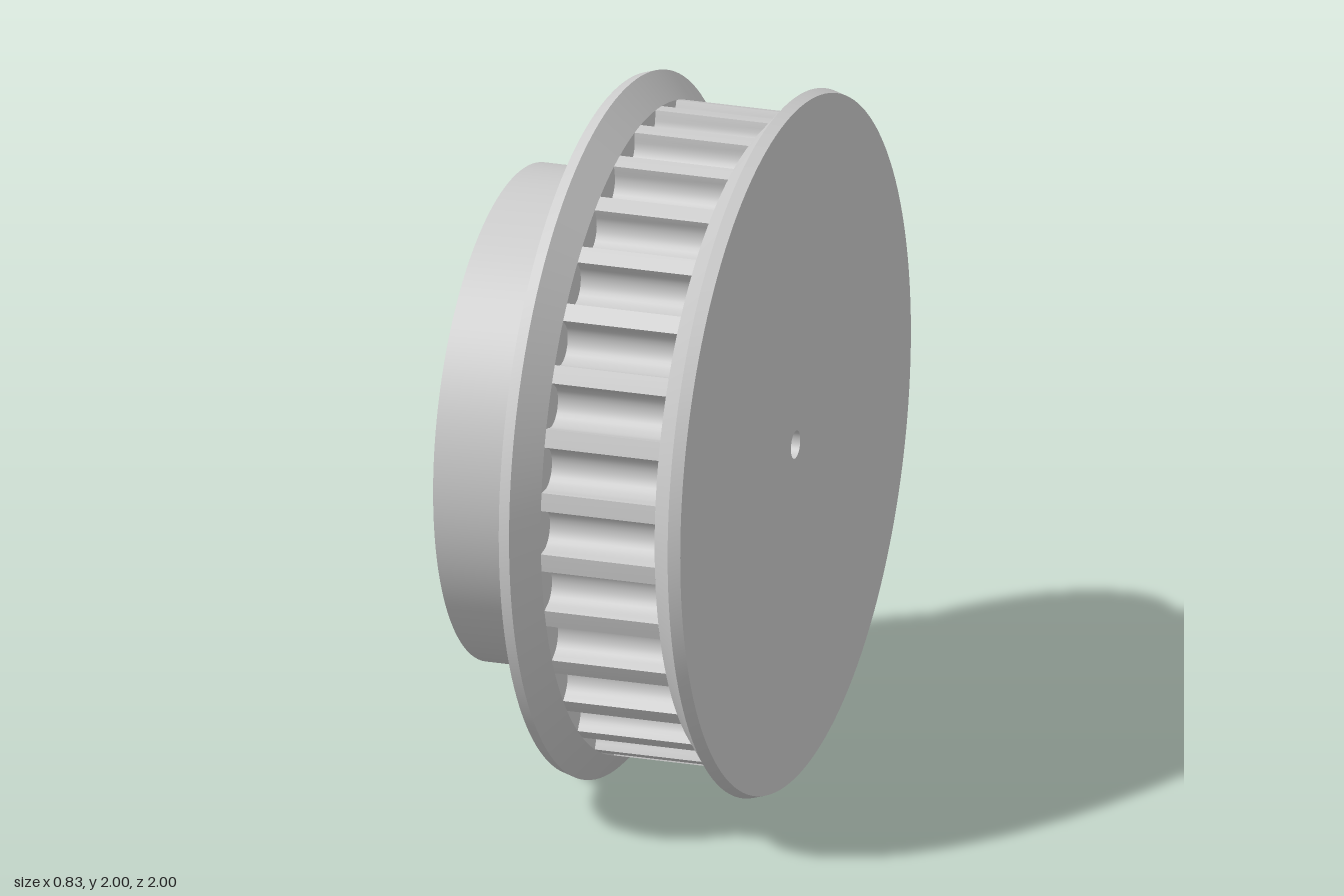
import * as THREE from 'three';
import { toCreasedNormals } from 'three/addons/utils/BufferGeometryUtils.js';

const TEETH = 32;
const TIP = 0.923;         // radius of the tooth lands
const BORE = 0.04;
const HALF = 0.415;        // half of the overall width
const INNER_L = -0.021, INNER_R = 0.316; // inner faces of the flanges

const material = new THREE.MeshStandardMaterial({ color: 0xcccccc });

// Turned part about the x axis; points are [radius, x], running left to right on the outside
function turned(name, points) {
  const lathe = new THREE.LatheGeometry(points.map(([r, x]) => new THREE.Vector2(r, x)), 144);
  lathe.rotateZ(-Math.PI / 2);
  const mesh = new THREE.Mesh(toCreasedNormals(lathe, 0.25), material);
  mesh.name = name;
  return mesh;
}

// Outline of the toothed rim: round-bottomed grooves with narrow lands between
function rimOutline() {
  const pts = [];
  const pitch = (Math.PI * 2) / TEETH;
  const landEdge = THREE.MathUtils.degToRad(4);
  const grooveR = 0.061, grooveCentre = TIP - 0.019, steps = 14;
  for (let i = 0; i < TEETH; i++) {
    const mid = i * pitch;
    pts.push([mid - landEdge, TIP]);
    for (let j = 0; j <= steps; j++) {
      const a = (j / steps) * Math.PI;
      const t = -grooveR * Math.cos(a), r = grooveCentre - grooveR * Math.sin(a);
      pts.push([mid + Math.atan2(t, r), Math.hypot(t, r)]);
    }
    pts.push([mid + landEdge, TIP], [mid + pitch / 2, TIP]);
  }
  pts.push(pts[0]);
  return pts;
}

// Wrap a strip around the outline, spanning from flange to flange
function toothedRim() {
  const outline = rimOutline();
  const geo = new THREE.PlaneGeometry(1, 1, 1, outline.length - 1);
  const pos = geo.attributes.position;
  outline.forEach(([a, r], i) => {
    const y = -r * Math.sin(a), z = r * Math.cos(a);
    pos.setXYZ(2 * i, INNER_L, y, z);
    pos.setXYZ(2 * i + 1, INNER_R, y, z);
  });
  const mesh = new THREE.Mesh(toCreasedNormals(geo, 0.4), material);
  mesh.name = 'toothedRim';
  return mesh;
}

export function createModel() {
  const group = new THREE.Group();
  group.name = 'timingPulley';

  // Hub with its end face
  group.add(turned('hub', [[BORE, -HALF], [0.703, -HALF], [0.703, -0.122]]));

  // Flanges: thin bevelled rim, conical inner side, flat wall closing the grooves
  group.add(turned('leftSideFlange', [
    [0.703, -0.122], [0.99, -0.122], [1, -0.088], [TIP, INNER_L], [0.82, INNER_L],
  ]));
  group.add(turned('rightSideFlange', [
    [0.82, INNER_R], [TIP, INNER_R], [1, 0.381], [0.99, HALF], [BORE, HALF],
  ]));

  group.add(toothedRim());

  // Shaft bore running right through
  const bore = new THREE.Mesh(
    new THREE.CylinderGeometry(BORE, BORE, HALF * 2, 48, 1, true),
    new THREE.MeshStandardMaterial({ color: 0xcccccc, side: THREE.DoubleSide }),
  );
  bore.rotation.z = Math.PI / 2;
  bore.name = 'bore';
  group.add(bore);

  group.position.y = 1;
  const model = new THREE.Group();
  model.add(group);
  return model;
}
